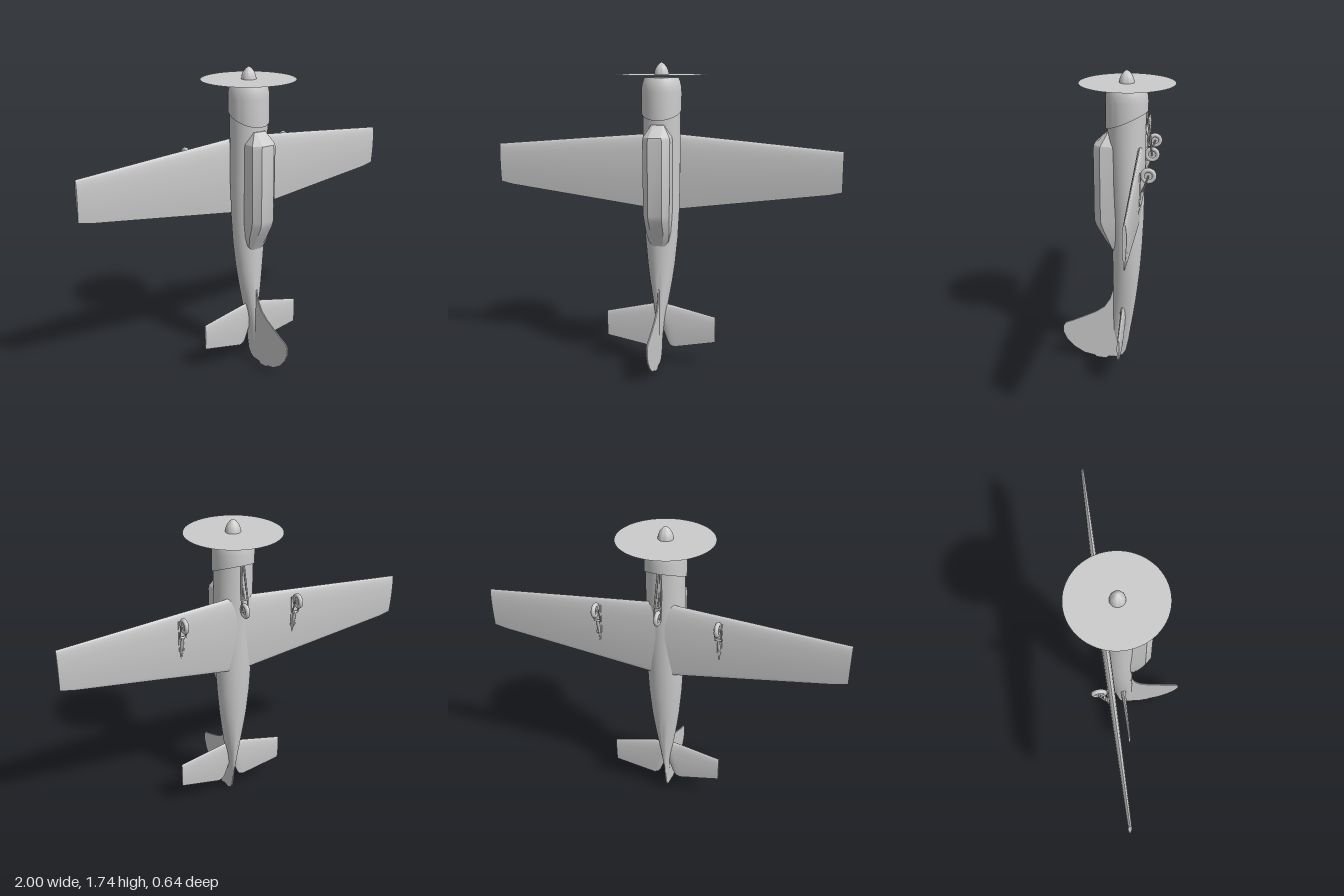
import * as THREE from 'three';
import { toCreasedNormals } from 'three/addons/utils/BufferGeometryUtils.js';

const grey = new THREE.MeshStandardMaterial({ color: 0xcccccc });
const greyDouble = new THREE.MeshStandardMaterial({ color: 0xcccccc, side: THREE.DoubleSide });

function part(parent, name, geometry, material = grey) {
  const mesh = new THREE.Mesh(geometry, material);
  mesh.name = name;
  parent.add(mesh);
  return mesh;
}

// Skin closed rings of equal length, cap both ends and face the result outward.
function loft(rings, crease = 0.6) {
  const n = rings[0].length, pos = [], index = [];
  rings.forEach((r) => r.forEach((p) => pos.push(...p)));
  for (let i = 0; i < rings.length - 1; i++) {
    for (let j = 0; j < n; j++) {
      const a = i * n + j, b = i * n + (j + 1) % n;
      index.push(a, b, a + n, b, b + n, a + n);
    }
  }
  const last = rings.length - 1;
  [0, last].forEach((i) => {
    const c = pos.length / 3;
    pos.push(...[0, 1, 2].map((k) => rings[i].reduce((s, p) => s + p[k], 0) / n));
    for (let j = 0; j < n; j++) {
      const a = i * n + j, b = i * n + (j + 1) % n;
      if (i === 0) index.push(c, b, a); else index.push(c, a, b);
    }
  });
  const v = index.map((i) => new THREE.Vector3().fromArray(pos, i * 3));
  let volume = 0;
  for (let i = 0; i < v.length; i += 3) volume += v[i].dot(v[i + 1].clone().cross(v[i + 2]));
  if (volume < 0) index.reverse();
  const g = new THREE.BufferGeometry();
  g.setAttribute('position', new THREE.Float32BufferAttribute(pos, 3));
  g.setIndex(index);
  return toCreasedNormals(g, crease);
}

// Elliptical ring; y may depend on z for slanted edges.
function oval(y, halfWidth, zTop, zBottom, count = 40) {
  return Array.from({ length: count }, (_, i) => {
    const t = i / count * Math.PI * 2;
    const z = (zTop + zBottom) / 2 + Math.cos(t) * (zTop - zBottom) / 2;
    return [Math.sin(t) * halfWidth, typeof y === 'function' ? y(z) : y, z];
  });
}

// Airfoil section across span position x, from leading to trailing edge.
function airfoil(x, lead, trail, zUp, zDown, count = 14) {
  const mid = (zUp + zDown) / 2, half = (zUp - zDown) / 2;
  return Array.from({ length: count * 2 }, (_, i) => {
    const t = i / (count * 2) * Math.PI * 2;
    const c = (1 - Math.cos(t)) / 2;
    const thick = 2.6 * Math.sqrt(c) * (1 - c) + 0.03;
    return [x, lead + (trail - lead) * c, mid + Math.sign(Math.sin(t)) * half * Math.min(1, thick)];
  });
}

function rod(parent, name, a, b, radius) {
  const p = new THREE.Vector3(...a), q = new THREE.Vector3(...b);
  part(parent, name, new THREE.TubeGeometry(new THREE.LineCurve3(p, q), 1, radius, 8), greyDouble);
}

function wheel(parent, x, y, z) {
  const tyre = part(parent, 'tyre', new THREE.TorusGeometry(0.03, 0.012, 10, 24));
  const hub = part(parent, 'hub', new THREE.CylinderGeometry(0.022, 0.022, 0.014, 18));
  tyre.rotation.y = Math.PI / 2;
  hub.rotation.z = Math.PI / 2;
  tyre.position.set(x, y, z);
  hub.position.set(x, y, z);
}

export function createModel() {
  const plane = new THREE.Group();
  plane.name = 'aeroplane';

  // Fuselage: height, half width, dorsal z, ventral z
  part(plane, 'fuselage', loft([
    [1.56, 0.104, 0.047, -0.163], [1.4, 0.105, 0.045, -0.163], [1.1, 0.105, 0.035, -0.16],
    [0.9, 0.1, 0.026, -0.156], [0.75, 0.092, 0.021, -0.149], [0.6, 0.077, 0.018, -0.138],
    [0.5, 0.063, 0.017, -0.127], [0.4, 0.046, 0.016, -0.115], [0.3, 0.029, 0.015, -0.1],
    [0.2, 0.014, 0.014, -0.084], [0.12, 0.007, 0.005, -0.072], [0.06, 0.004, -0.01, -0.058],
  ].map((r) => oval(...r))));

  // Engine cowl with a slanted rear lip
  const lip = (z) => 1.43 + (0.057 - z) / 0.232 * 0.1;
  part(plane, 'cowl', loft([
    oval(lip, 0.112, 0.058, -0.175), oval(1.58, 0.112, 0.058, -0.175),
    oval(1.61, 0.11, 0.056, -0.172), oval(1.64, 0.103, 0.049, -0.165),
    oval(1.66, 0.094, 0.04, -0.156),
  ]));

  // Propeller disc and spinner
  const disc = part(plane, 'propellerDisc', new THREE.CircleGeometry(0.26, 64), greyDouble);
  disc.rotation.x = -Math.PI / 2;
  disc.position.set(0, 1.675, -0.06);
  const nose = [[0, 0], [0.041, 0], [0.039, 0.018], [0.031, 0.038], [0.018, 0.055], [0.007, 0.064], [0, 0.067]];
  const spinner = part(plane, 'spinner',
    toCreasedNormals(new THREE.LatheGeometry(nose.map((p) => new THREE.Vector2(...p)), 28), 0.7));
  spinner.position.set(0, 1.676, -0.057);

  // Canopy: height, sill half width, roof half width, shoulder z, roof z
  part(plane, 'canopy', loft([
    [1.405, 0.036, 0.025, 0.045, 0.05], [1.34, 0.074, 0.036, 0.08, 0.118],
    [1.32, 0.077, 0.04, 0.083, 0.121], [0.91, 0.074, 0.04, 0.08, 0.118],
    [0.875, 0.072, 0.038, 0.07, 0.108], [0.8, 0.066, 0.036, 0.04, 0.064], [0.745, 0.055, 0.03, 0.02, 0.032],
    [0.72, 0.036, 0.02, 0.015, 0.019],
  ].map(([y, w, r, s, z]) => [
    [-w, y, -0.01], [-w, y, s], [-r, y, z], [r, y, z], [w, y, s], [w, y, -0.01],
  ]), 0.3));

  // Wings and tailplane, mirrored
  for (const [side, s] of [['left', 1], ['right', -1]]) {
    part(plane, side + 'Wing', loft([
      [0, 1.35, 0.9, -0.112, -0.158], [0.11, 1.34, 0.915, -0.113, -0.157],
      [0.5, 1.308, 0.966, -0.116, -0.151], [0.93, 1.271, 1.022, -0.12, -0.143],
      [1, 1.265, 1.038, -0.121, -0.141],
    ].map(([x, ...r]) => airfoil(s * x, ...r)), 0.8));
    part(plane, side + 'Tailplane', loft([
      [0, 0.37, 0.24, -0.025, -0.057], [0.02, 0.37, 0.2, -0.025, -0.057],
      [0.04, 0.368, 0.145, -0.027, -0.056], [0.055, 0.365, 0.12, -0.027, -0.055],
      [0.08, 0.36, 0.11, -0.029, -0.053], [0.32, 0.305, 0.155, -0.034, -0.048],
    ].map(([x, ...r]) => airfoil(s * x, ...r)), 0.8));
  }

  // Fin and rudder, one rounded outline drawn as (z, y)
  const outline = [
    [0.0, 0.49], [0.018, 0.465], [0.038, 0.4], [0.07, 0.35], [0.12, 0.315], [0.2, 0.277], [0.26, 0.25],
    [0.3, 0.235], [0.316, 0.21], [0.316, 0.17], [0.295, 0.125], [0.25, 0.075], [0.19, 0.036],
    [0.128, 0.021], [0.118, 0.01], [0.06, 0.004], [0.045, 0.016], [-0.01, 0.018], [-0.04, 0.033],
    [-0.06, 0.065], [-0.072, 0.12], [-0.075, 0.18],
  ];
  const fin = new THREE.ExtrudeGeometry(new THREE.Shape(outline.map((p) => new THREE.Vector2(...p))), {
    depth: 0.004, bevelThickness: 0.003, bevelSize: 0.006, bevelOffset: -0.006, bevelSegments: 2,
  });
  fin.translate(0, 0, -0.002);
  fin.rotateY(-Math.PI / 2);
  part(plane, 'finAndRudder', fin);

  // Main undercarriage: wheel, fork, leg and door under each wing
  for (const [name, x] of [['leftMainGear', 0.348], ['rightMainGear', -0.322]]) {
    const gear = new THREE.Group();
    gear.name = name;
    wheel(gear, x, 1.275, -0.197);
    for (const d of [-0.017, 0.017]) rod(gear, 'fork', [x + d, 1.275, -0.197], [x + d, 1.2, -0.172], 0.004);
    rod(gear, 'axle', [x - 0.02, 1.275, -0.197], [x + 0.02, 1.275, -0.197], 0.005);
    rod(gear, 'forkBridge', [x - 0.019, 1.2, -0.172], [x + 0.019, 1.2, -0.172], 0.006);
    rod(gear, 'leg', [x, 1.2, -0.172], [x, 1.1, -0.148], 0.009);
    rod(gear, 'brace', [x, 1.15, -0.165], [x, 1.05, -0.14], 0.005);
    const door = part(gear, 'door', new THREE.BoxGeometry(0.03, 0.17, 0.006));
    door.position.set(x, 1.2, -0.155);
    plane.add(gear);
  }

  // Nose undercarriage: wheel trailing from two struts under the cowl
  const noseGear = new THREE.Group();
  noseGear.name = 'noseGear';
  wheel(noseGear, 0, 1.285, -0.197);
  for (const d of [-0.018, 0.018]) {
    rod(noseGear, 'fork', [d, 1.285, -0.197], [d, 1.345, -0.19], 0.004);
    rod(noseGear, 'strut', [d, 1.345, -0.19], [d * 0.4, 1.53, -0.165], 0.005);
  }
  rod(noseGear, 'axle', [-0.02, 1.285, -0.197], [0.02, 1.285, -0.197], 0.005);
  rod(noseGear, 'forkBridge', [-0.02, 1.345, -0.19], [0.02, 1.345, -0.19], 0.005);
  rod(noseGear, 'dragBrace', [0, 1.345, -0.19], [0, 1.43, -0.155], 0.004);
  plane.add(noseGear);

  return plane;
}
